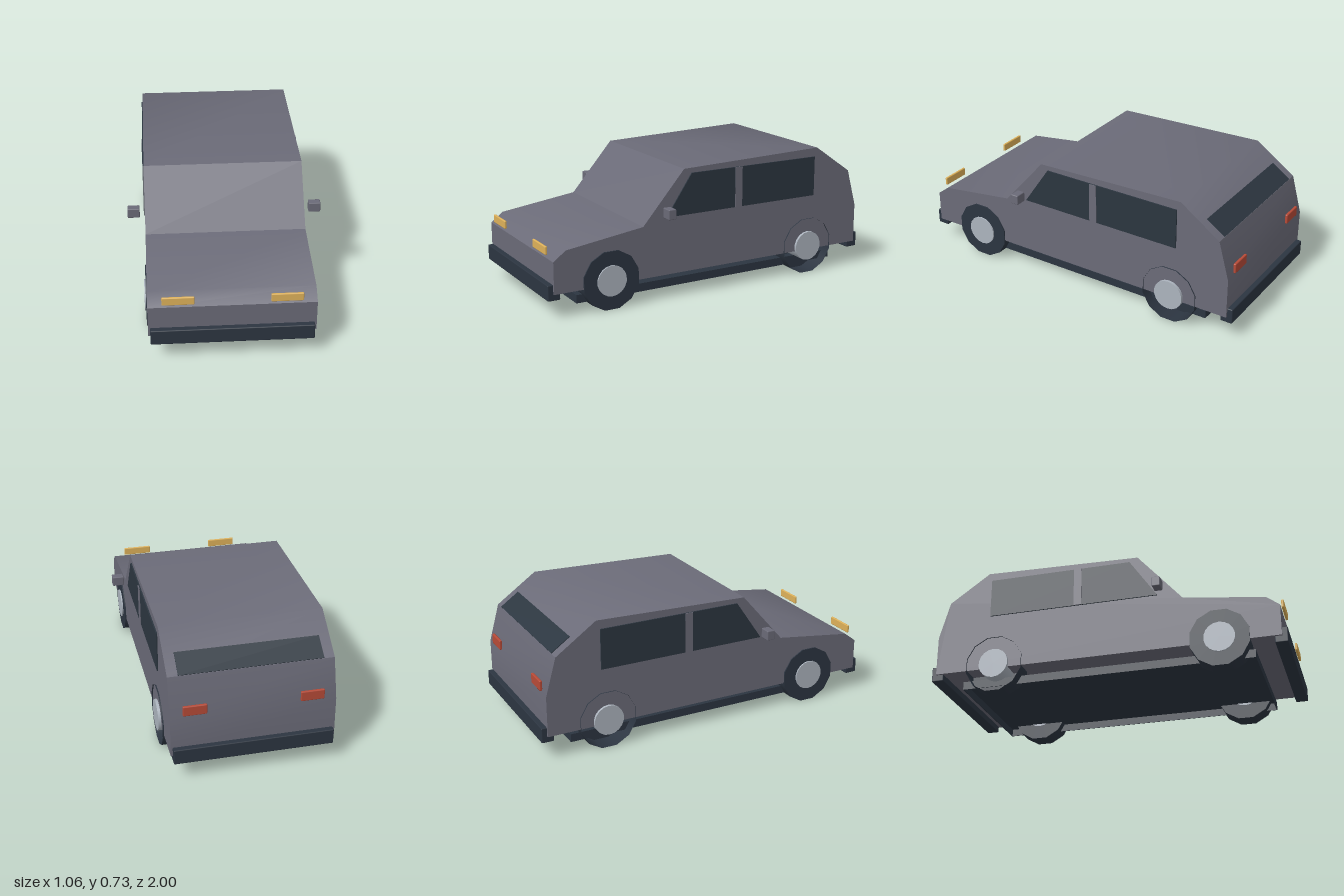
import * as THREE from 'three';
import { toCreasedNormals } from 'three/addons/utils/BufferGeometryUtils.js';
import { RoundedBoxGeometry } from 'three/addons/geometries/RoundedBoxGeometry.js';

const mat = (name, color, side = THREE.FrontSide) => {
  const m = new THREE.MeshStandardMaterial({ color, side });
  m.name = name;
  return m;
};

export function createModel() {
  const car = new THREE.Group();
  car.name = 'car';

  const paint = mat('greyPaint', 0x6b6b78);
  const dark = mat('darkTrim', 0x2c3541, THREE.DoubleSide);
  const glass = mat('tintedGlass', 0x2c3640);
  const metal = mat('hubMetal', 0xacb4be);
  const amber = mat('amberLamp', 0xdfb25a);
  const red = mat('redLamp', 0xb84b38);

  const add = (name, geometry, material, x = 0, y = 0, z = 0) => {
    const mesh = new THREE.Mesh(geometry, material);
    mesh.name = name;
    mesh.position.set(x, y, z);
    car.add(mesh);
    return mesh;
  };
  const box = (name, material, w, h, d, x, y, z) =>
    add(name, new THREE.BoxGeometry(w, h, d), material, x, y, z);
  const softBox = (name, material, w, h, d, x, y, z) =>
    add(name, new RoundedBoxGeometry(w, h, d, 1, 0.005), material, x, y, z);

  // Side profile given as [z, y], extruded across the car from x0 to x1
  const sideExtrude = (points, x0, x1) => {
    const shape = new THREE.Shape(points.map(([z, y]) => new THREE.Vector2(-z, y)));
    const g = new THREE.ExtrudeGeometry(shape, { depth: x1 - x0, bevelEnabled: false });
    return g.rotateY(Math.PI / 2).translate(x0, 0, 0);
  };

  // Body shell: soft over the nose and tail, creased around the windscreen
  const shell = sideExtrude([
    [0.97, 0.135], [0.97, 0.31], [0.9, 0.363], [0.45, 0.423], [0.2, 0.709],
    [-0.68, 0.733], [-0.91, 0.573], [-0.97, 0.36], [-0.97, 0.135],
  ], -0.436, 0.436);
  add('body', toCreasedNormals(shell, 0.65), paint);

  // Floor tray, open underneath
  box('floorPan', dark, 0.77, 0.004, 1.645, 0, 0.091, 0);
  for (const s of [1, -1]) {
    box('floorSideRim', dark, 0.004, 0.046, 1.645, s * 0.383, 0.07, 0);
    box('floorEndRim', dark, 0.77, 0.046, 0.004, 0, 0.07, s * 0.8205);
  }

  // Bumpers
  softBox('frontBumper', dark, 0.85, 0.086, 0.07, 0, 0.142, 0.965);
  softBox('rearBumper', dark, 0.85, 0.086, 0.07, 0, 0.142, -0.965);

  // Rear window lying on the sloped tail
  const slope = Math.atan2(0.16, 0.23);
  box('rearWindow', glass, 0.76, 0.006, 0.128, 0, 0.6115, -0.857).rotation.x = -slope;

  const windowProfile = [[0.31, 0.457], [0.155, 0.683], [-0.66, 0.683], [-0.66, 0.457]];
  const axleY = 0.16;
  const tyreRadius = axleY / Math.cos(Math.PI / 12);
  const tyreInner = 0.336;
  const tyreWidth = 0.107;

  // Drum whose axle runs across the car, with a flat resting on the ground
  const drum = (radius, width, sides, open = false) =>
    new THREE.CylinderGeometry(radius, radius, width, sides, 1, open)
      .rotateY(Math.PI / sides).rotateZ(Math.PI / 2);

  for (const s of [1, -1]) {
    const side = s > 0 ? 'left' : 'right';

    // Side glass and door pillar
    const gx = s > 0 ? 0.434 : -0.443;
    add(side + 'SideWindow', sideExtrude(windowProfile, gx, gx + 0.009), glass);
    box(side + 'DoorPillar', paint, 0.02, 0.226, 0.044, s * 0.437, 0.57, -0.144);

    // Door mirror
    softBox(side + 'Mirror', paint, 0.066, 0.056, 0.046, s * 0.498, 0.494, 0.324);

    // Lamps
    softBox(side + 'Headlamp', amber, 0.168, 0.046, 0.014, s * 0.279, 0.353, 0.975);
    softBox(side + 'TailLamp', red, 0.126, 0.056, 0.016, s * 0.308, 0.4, -0.97);

    // Wheels: solid tyres in front, tyres open on the outside at the rear
    const tyreX = s * (tyreInner + tyreWidth / 2);
    add(side + 'FrontTyre', drum(tyreRadius, tyreWidth, 12), dark, tyreX, axleY, 0.643);
    add(side + 'RearTyre', drum(tyreRadius, tyreWidth, 12, true), dark, tyreX, axleY, -0.625);
    add(side + 'RearTyreBack',
      new THREE.CircleGeometry(tyreRadius, 12, Math.PI / 12).rotateY(s * Math.PI / 2),
      dark, s * tyreInner, axleY, -0.625);
    for (const [end, z] of [['Front', 0.643], ['Rear', -0.625]]) {
      add(side + end + 'Hub', drum(0.085, 0.121, 18), metal, s * 0.3905, axleY, z);
    }
  }

  return car;
}
